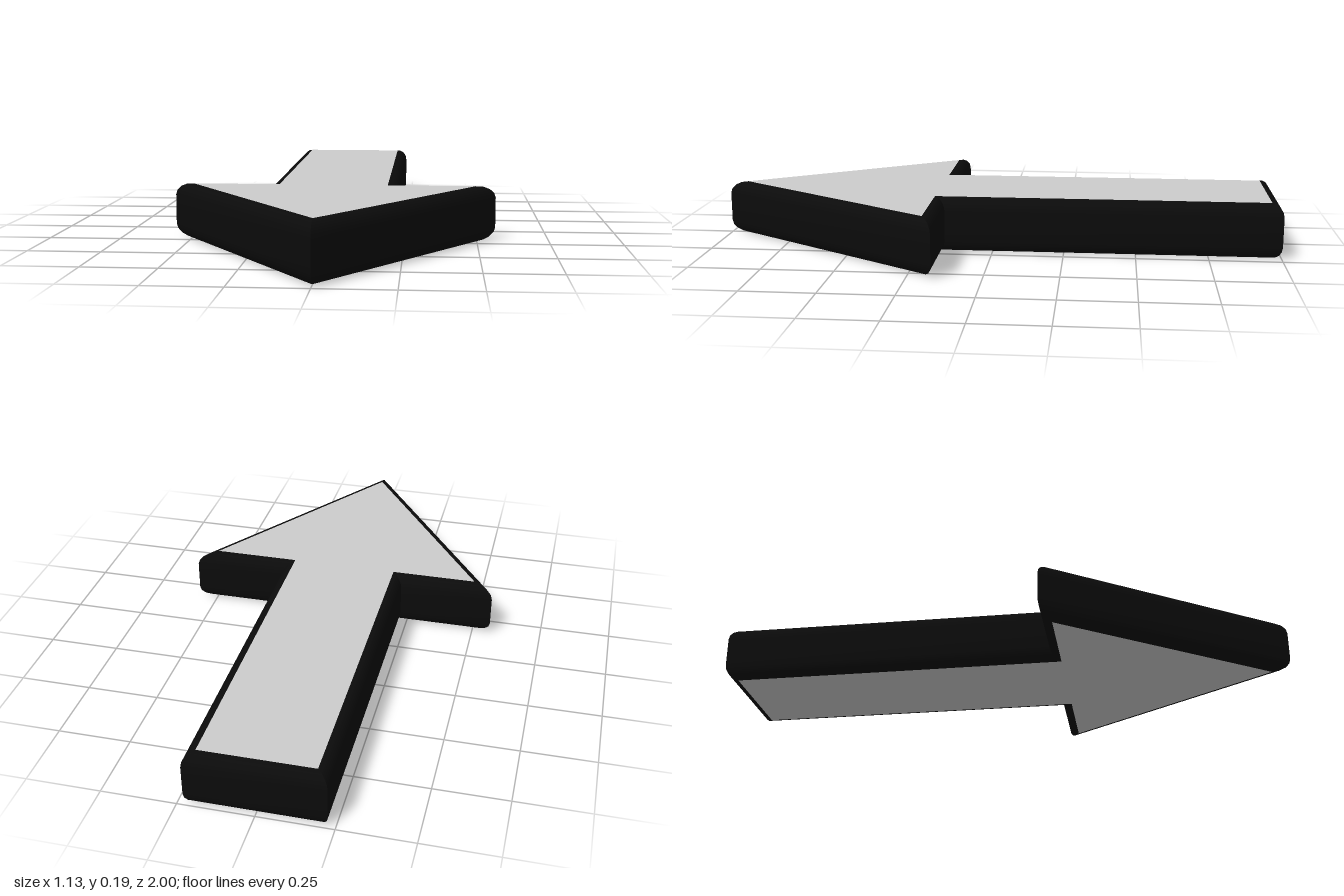
import * as THREE from 'three';
import { toCreasedNormals } from 'three/addons/utils/BufferGeometryUtils.js';

const HEIGHT = 0.193, INSET = 0.038, BEVEL = 0.045, STEPS = 4;

// Arrow outline [x, z], moved inwards by d, counterclockwise from above
function outline(d) {
  const w = 0.2275 - d, back = -1 + d, shoulder = 0.166 + d;
  const head = 0.565 - 1.885 * d, tip = 1 - 1.785 * d;
  return [[w, back], [-w, back], [-w, shoulder], [-head, shoulder],
    [0, tip], [head, shoulder], [w, shoulder]];
}

// Rounded wall: outlines stacked along a quarter-round profile at each end
function rimGeometry() {
  const profile = [];
  for (let i = 0; i <= STEPS; i++) {
    const a = (i / STEPS) * Math.PI / 2;
    profile.push([INSET * (1 - Math.sin(a)), BEVEL * (1 - Math.cos(a))]);
  }
  const upper = profile.map(([d, y]) => [d, HEIGHT - y]).reverse();
  const rings = [...profile, ...upper];
  const positions = [], index = [];
  const n = outline(0).length;
  rings.forEach(([d, y], r) => {
    outline(d).forEach(([x, z], j) => {
      positions.push(x, y, z);
      if (r === rings.length - 1) return;
      const a = r * n + j, b = r * n + (j + 1) % n;
      index.push(a, b, b + n, a, b + n, a + n);
    });
  });
  const geometry = new THREE.BufferGeometry();
  geometry.setAttribute('position', new THREE.Float32BufferAttribute(positions, 3));
  geometry.setIndex(index);
  return toCreasedNormals(geometry, Math.PI / 5);
}

// Flat face filling the inset outline; side is 1 for the top, -1 for the bottom
function faceGeometry(side) {
  const points = outline(INSET).map(([x, z]) => new THREE.Vector2(x, -side * z));
  return new THREE.ShapeGeometry(new THREE.Shape(points)).rotateX(-side * Math.PI / 2);
}

export function createModel() {
  const black = new THREE.MeshStandardMaterial({ color: 0x0b0b0b });
  black.name = 'black';
  const lightGrey = new THREE.MeshStandardMaterial({ color: 0xcccccc });
  lightGrey.name = 'lightGrey';

  const arrow = new THREE.Group();
  arrow.name = 'arrow';
  const add = (name, geometry, material, y = 0) => {
    const mesh = new THREE.Mesh(geometry, material);
    mesh.name = name;
    mesh.position.y = y;
    arrow.add(mesh);
  };

  add('rim', rimGeometry(), black);
  add('topFace', faceGeometry(1), lightGrey, HEIGHT);
  add('bottomFace', faceGeometry(-1), lightGrey);
  return arrow;
}
